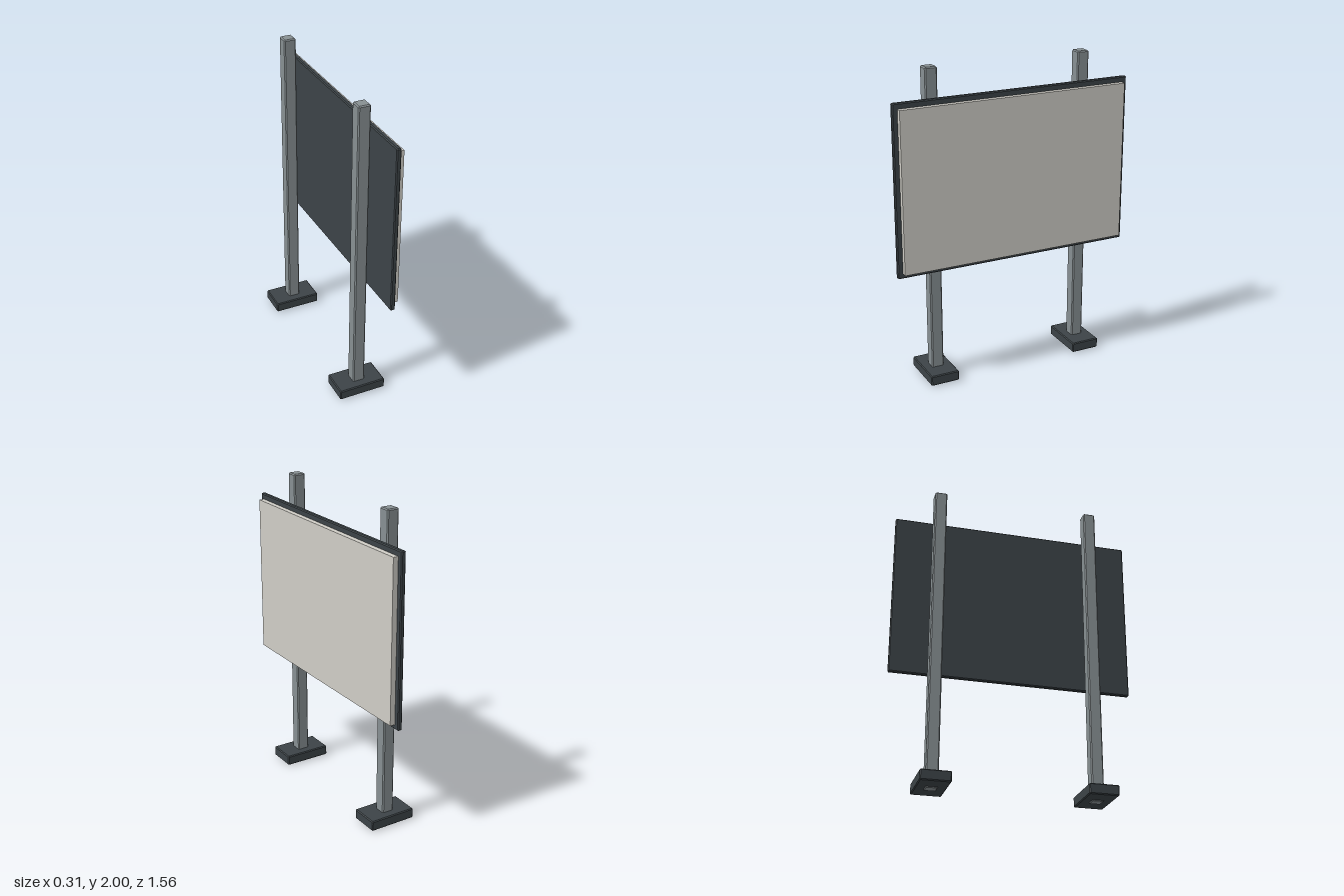
import * as THREE from 'three';
import { ConvexGeometry } from 'three/addons/geometries/ConvexGeometry.js';

const mat = (name, color) => {
  const m = new THREE.MeshStandardMaterial({ color });
  m.name = name;
  return m;
};

// Box with flat chamfers of size c on every edge
function chamferBox(w, h, d, c) {
  const points = [];
  for (const sx of [-1, 1]) for (const sy of [-1, 1]) for (const sz of [-1, 1]) {
    const [x, y, z] = [w / 2, h / 2, d / 2];
    points.push(
      new THREE.Vector3(sx * x, sy * (y - c), sz * (z - c)),
      new THREE.Vector3(sx * (x - c), sy * y, sz * (z - c)),
      new THREE.Vector3(sx * (x - c), sy * (y - c), sz * z)
    );
  }
  return new ConvexGeometry(points);
}

export function createModel() {
  const group = new THREE.Group();
  group.name = 'billboard';
  const steel = mat('steel grey', 0x878f92);
  const dark = mat('dark slate', 0x3c4347);
  const paper = mat('pale panel', 0xcfcdc6);

  const add = (name, geometry, material, x, y, z) => {
    const mesh = new THREE.Mesh(geometry, material);
    mesh.name = name;
    mesh.position.set(x, y, z);
    group.add(mesh);
  };

  // Two posts, each passing through a footing block
  const postGeo = chamferBox(0.078, 2, 0.078, 0.007);
  const footGeo = chamferBox(0.308, 0.066, 0.188, 0.006);
  for (const [side, s] of [['front', 1], ['back', -1]]) {
    add(side + 'Post', postGeo, steel, 0, 1, s * 0.507);
    add(side + 'Footing', footGeo, dark, 0, 0.038, s * 0.507);
  }

  // Backing board, standing clear of the posts, and the display panel on it
  add('backingBoard', chamferBox(0.03, 1.08, 1.56, 0.006), dark, 0.093, 1.289, 0);
  add('displayPanel', new THREE.BoxGeometry(0.036, 1.014, 1.496), paper, 0.123, 1.287, 0);
  return group;
}
